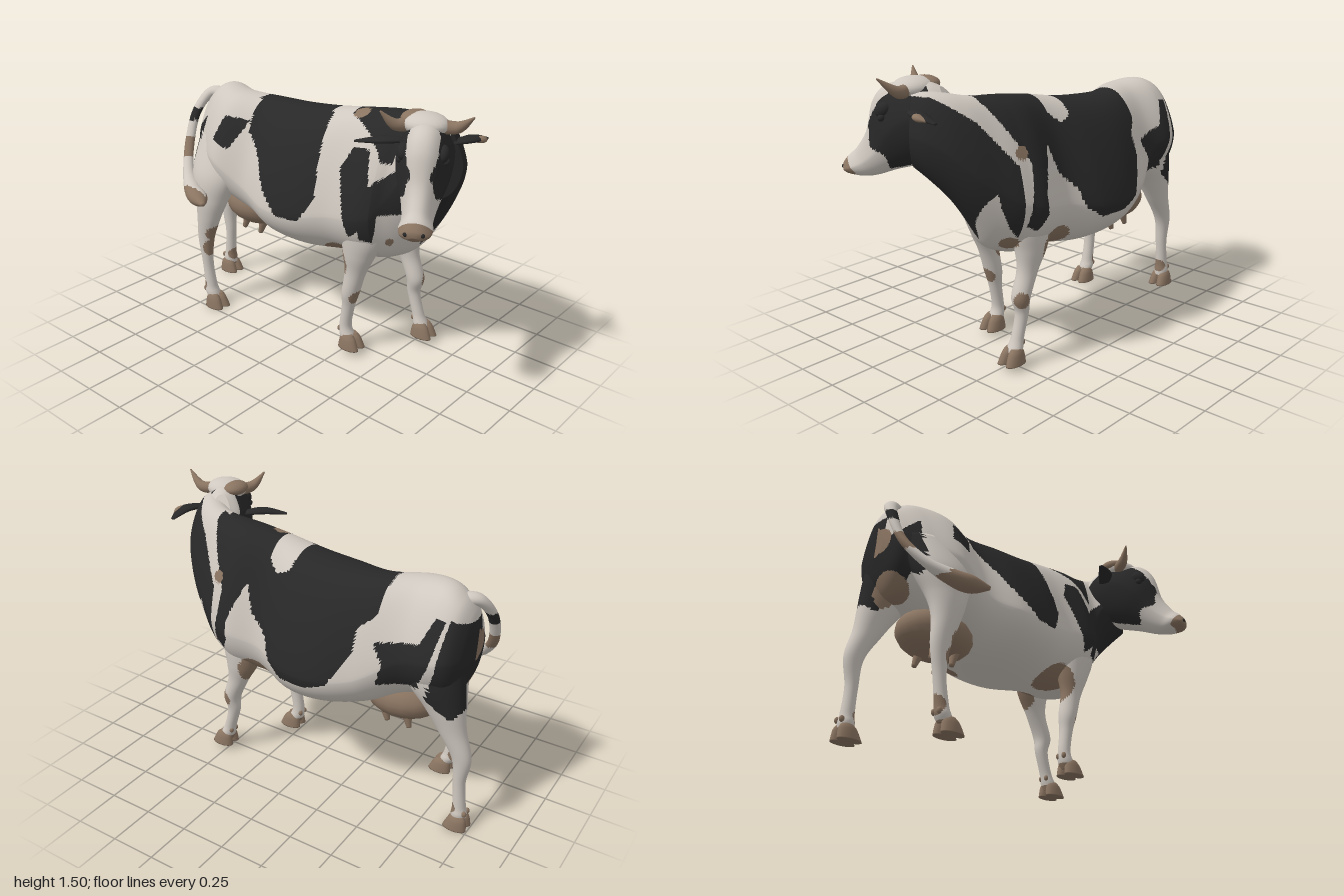
import * as THREE from 'three';

const mat = (name, color) => Object.assign(new THREE.MeshStandardMaterial({ color }), { name });
const WHITE = 0, BLACK = 1, TAN = 2;
const coats = [mat('cream white', 0xcfc8c0), mat('soft black', 0x282828), mat('tan', 0x8a7461)];
const V = (x, y, z) => new THREE.Vector3(x, y, z);
const plain = (c) => () => c;

// Smoothly interpolates a short list of sections into n + 1 rows
function resample(sections, n) {
  const last = sections.length - 1, out = [];
  for (let i = 0; i <= n; i++) {
    const t = (i / n) * last, k = Math.min(Math.floor(t), last - 1), f = t - k;
    const at = (q) => sections[Math.max(0, Math.min(last, q))];
    out.push(at(k).map((p1, c) => {
      const p0 = at(k - 1)[c], p2 = at(k + 1)[c], p3 = at(k + 2)[c];
      return p1 + 0.5 * f * (p2 - p0 + f * (2 * p0 - 5 * p1 + 4 * p2 - p3 + f * (3 * (p1 - p2) + p3 - p0)));
    }));
  }
  return out;
}

// Skins rings of points into a closed surface; colourAt sorts faces into coat colours
function skin(name, rings, colourAt) {
  const n = rings[0].length, end = rings.length - 1, pts = rings.flat(), faces = [[], [], []];
  const add = (a, b, c) => {
    const m = pts[a].clone().add(pts[b]).add(pts[c]).divideScalar(3);
    faces[colourAt(m)].push(a, b, c);
  };
  const centre = (r) => pts.push(r.reduce((s, p) => s.add(p), V(0, 0, 0)).divideScalar(n)) - 1;
  const c0 = centre(rings[0]), c1 = centre(rings[end]);
  for (let j = 0; j < n; j++) {
    const k = (j + 1) % n;
    for (let i = 0; i < end; i++) {
      const a = i * n + j, b = i * n + k;
      add(a, b, a + n);
      add(b, b + n, a + n);
    }
    add(c0, k, j);
    add(c1, end * n + j, end * n + k);
  }
  const geo = new THREE.BufferGeometry().setFromPoints(pts);
  geo.setIndex(faces.flat());
  let start = 0;
  faces.forEach((f, i) => { if (f.length) geo.addGroup(start, f.length, i); start += f.length; });
  geo.computeVertexNormals();
  const mesh = new THREE.Mesh(geo, coats);
  mesh.name = name;
  return mesh;
}
const ring = (n, fn) => Array.from({ length: n }, (_, j) => fn(Math.cos((j / n) * 2 * Math.PI), Math.sin((j / n) * 2 * Math.PI)));

// Upright egg-shaped sections: [z, half width, top, bottom, widest height, x]
const eggRings = (sections, rows, n, yawAt) => resample(sections, rows).map(([z, w, top, bot, mid, x = 0]) =>
  ring(n, (c, s) => {
    const r = w * c * (s > 0 ? 1 - 0.28 * s * Math.abs(c) : 1), yaw = yawAt(z);
    return V(x + r * Math.cos(yaw), mid + s * (s > 0 ? top - mid : mid - bot), z + r * Math.sin(yaw));
  }));
// Horizontal sections going down: [y, rx, rz, z, x]
const legRings = (sections, rows, n) => resample(sections, rows).map(([y, rx, rz, z, x]) =>
  ring(n, (c, s) => V(x + rx * c, y, z + rz * s)));
// Tapered sweep along points [x, y, z, radius], flattened by flat
function sweep(name, points, colourAt, flat = 1, rows = 24, n = 16) {
  const p = resample(points, rows), at = p.map((q) => V(q[0], q[1], q[2]));
  return skin(name, p.map((q, i) => {
    const t = at[Math.min(i + 1, rows)].clone().sub(at[Math.max(i - 1, 0)]).normalize();
    const u = V(0, 1, 0.01).cross(t).normalize(), v = t.clone().cross(u);
    return ring(n, (c, s) => at[i].clone().addScaledVector(u, c * q[3]).addScaledVector(v, s * q[3] * flat));
  }), colourAt);
}
function ball(name, x, y, z, rx, ry, rz, c) {
  const m = new THREE.Mesh(new THREE.SphereGeometry(1, 20, 14), coats[c]);
  m.position.set(x, y, z);
  m.scale.set(rx, ry, rz);
  m.name = name;
  return m;
}

// Coat patches: outlines in (z, y) on each flank, (x, z) on top and (x, y) on the chest
function inside(poly, a, b) {
  let hit = false;
  for (let i = 0, j = poly.length - 1; i < poly.length; j = i++) {
    const [p, q] = poly[i], [r, s] = poly[j];
    if (q > b !== s > b && a < ((r - p) * (b - q)) / (s - q) + p) hit = !hit;
  }
  return hit;
}
const leftSaddle = [[.6, 1.5], [.6, 1.37], [.44, 1.07], [.49, .76], [.43, .73], [.385, .81], [.39, .92], [.294, 1.137], [.246, .987],
  [.144, .89], [.1, .783], [.01, .72], [-.15, .724], [-.27, .77], [-.38, .95], [-.38, 1.067], [-.465, 1.147], [-.476, 1.5]];
const leftNeck = [[.8, 1.4], [.66, 1.28], [.51, 1.06], [.51, .7], [.55, .58], [.8, .6], [1.1, 1.4]];
const leftThigh = [[-.47, 1.02], [-.7, 1.06], [-.76, 1.2], [-.81, 1.19], [-.77, .98], [-.7, .82], [-.5, .8], [-.53, .92]];
const leftRump = [[-.83, 1.2], [-.95, 1.15], [-.95, .75], [-.88, .67], [-.74, .77], [-.8, .95]];
const rightSaddle = [[-.47, 1.5], [-.44, 1.13], [-.33, 1.02], [-.22, .87], [-.1, .76], [.04, .76], [.12, .9], [.06, 1.5]];
const rightShoulder = [[.24, 1.08], [.3, 1.2], [.4, 1.2], [.44, 1], [.42, .8], [.34, .74]];
const rightNeck = [[.4, .74], [.42, 1.02], [.75, 1.28], [1, 1.3], [.95, .9], [.6, .7]];
const rightRump = [[-.78, 1.15], [-.95, 1], [-.95, .78], [-.82, .78]];
const rightHip = [[-.45, 1.18], [-.6, 1.19], [-.64, 1.06], [-.53, 1.02]];
const leftPatches = [leftSaddle, leftNeck, leftThigh, leftRump];
const rightPatches = [rightSaddle, rightShoulder, rightNeck, rightRump, rightHip];
const notch = [[.22, 1.5], [.22, 1.28], [.14, 1.21], [.06, 1.24], [.03, 1.5]];
const withers = [[.03, .2], [.26, .2], [.4, .3], [.4, .45], [.03, .58], [-.1, .5]];
const chest = [[-.13, .88], [.02, .9], [.12, .67], [.17, .78], [.3, .95], [.32, .5], [-.13, .5]];
// Tan spots: [x, y, z, radius]
const tanSpots = [[.32, .36, .49, .045], [-.08, .35, .33, .045], [-.2, .38, -.67, .055], [-.2, .48, -.65, .05],
  [.24, .69, .5, .065], [.3, .6, .25, .12], [-.04, .56, .22, .12], [.06, 1.03, -.92, .07], [.04, .76, -.86, .1],
  [-.2, .13, -.73, .05], [.2, .12, -.91, .04], [-.03, .73, .49, .04], [.31, 1.12, .48, .035], [.05, 1.34, .25, .045], [.3, .6, -.25, .06]];
function coat({ x, y, z }) {
  if (tanSpots.some(([a, b, c, r]) => Math.hypot(x - a, y - b, z - c) < r)) return TAN;
  if (z > .45 && inside(chest, x, y)) return WHITE;
  if (y > 1.15 && inside(withers, x, z)) return BLACK;
  const left = x > (z > .55 ? .11 - 0.6 * (z - .55) : .04);
  if (left && inside(notch, z, y)) return WHITE;
  return (left ? leftPatches : rightPatches).some((p) => inside(p, z, y)) ? BLACK : WHITE;
}

// Leg thickness going down: [y, rx, rz]
const foreShape = [[.95, .13, .15], [.74, .095, .13], [.61, .073, .095], [.5, .052, .062], [.37, .05, .05],
  [.28, .036, .037], [.16, .034, .034], [.1, .042, .042], [.06, .036, .042]];
const hindShape = [[1.05, .13, .18], [.85, .12, .165], [.7, .087, .112], [.58, .062, .079], [.43, .043, .053],
  [.28, .033, .033], [.14, .035, .035], [.09, .042, .042], [.05, .036, .04]];

// Leg following a z path, spreading by lean towards the body, with a cloven hoof
function makeLeg(name, shape, path, x, lean, y, z) {
  const leg = new THREE.Group();
  leg.name = name;
  const sections = shape.map(([h, rx, rz], i) => [h, rx, rz, path[i], x + lean * Math.max(0, 2 * h - 1) ** 2]);
  leg.add(skin(name + 'Limb', legRings(sections, 70, 32), (p) => (p.y < y + .06 ? TAN : coat(p))));
  for (const s of [-1, 1]) {
    const toe = [[.08, .02, .03], [.06, .029, .047], [.03, .033, .058], [0, .034, .066]];
    leg.add(skin('hoofToe', legRings(toe.map(([h, rx, rz]) => [y + h, rx, rz, z - .16 * h, x + s * (.029 - .1 * h)]), 12, 20), plain(TAN)));
    leg.add(ball('dewclaw', x + s * .02, y + .1, path[7] - .036, .012, .017, .014, TAN));
  }
  return leg;
}

export function createModel() {
  const cow = new THREE.Group();
  cow.name = 'cow';

  // Torso running forward into the neck, which turns to the right
  cow.add(skin('torsoAndNeck', eggRings([
    [-.915, .05, 1.12, .95, 1.03, .1], [-.89, .15, 1.21, .83, 1, .1], [-.84, .205, 1.275, .75, 1, .11],
    [-.75, .245, 1.315, .72, .98, .09], [-.6, .275, 1.3, .67, .94, .055], [-.4, .3, 1.285, .59, .82, .11],
    [-.2, .36, 1.29, .54, .78, .11], [0, .35, 1.31, .525, .78, .11], [.2, .285, 1.345, .55, .82, .1],
    [.38, .3, 1.37, .56, .85, .11], [.48, .265, 1.38, .585, .88, .11], [.56, .215, 1.385, .64, .95, .1],
    [.64, .18, 1.395, .78, 1.04, .08], [.71, .155, 1.41, .9, 1.14, .04], [.77, .135, 1.42, .99, 1.2, -.02],
    [.81, .11, 1.41, 1.05, 1.22, -.08]], 240, 150, (z) => 2.6 * Math.max(0, z - .46)), coat));

  // Legs
  cow.add(
    makeLeg('frontLeftLeg', foreShape, [.36, .37, .38, .41, .46, .455, .487, .508, .52], .285, -.09, .03, .532),
    makeLeg('frontRightLeg', foreShape, [.36, .36, .34, .32, .29, .275, .257, .268, .285], -.078, .05, .03, .3),
    makeLeg('hindLeftLeg', hindShape, [-.7, -.74, -.81, -.86, -.925, -.925, -.935, -.938, -.935], .2, -.02, 0, -.93),
    makeLeg('hindRightLeg', hindShape, [-.68, -.67, -.67, -.685, -.715, -.713, -.695, -.685, -.665], -.2, .15, 0, -.645));

  // Udder and teats
  cow.add(ball('udder', .08, .635, -.53, .18, .13, .22, TAN));
  for (const s of [-1, 1]) for (const z of [-.44, -.57])
    cow.add(sweep('teat', [[.08 + s * .06, .57, z, .034], [.08 + s * .07, .465, z - .03, .013]], plain(TAN), 1, 8, 12));

  // Tail swung out to the right, ending in a tuft
  cow.add(sweep('tail', [[.08, 1.24, -.8, .045], [.04, 1.24, -.88, .038], [-.04, 1.13, -.925, .03], [-.12, .96, -.91, .028],
    [-.21, .83, -.83, .032], [-.28, .76, -.72, .05], [-.32, .74, -.63, .052], [-.36, .735, -.55, .012]],
  ({ x, y }) => (y > 1.09 && y < 1.16 ? BLACK : (y > .9 && y < 1) || x < -.31 || (x < -.22 && y < .76) ? TAN : WHITE), .8, 60, 20));

  // Head, turned to the right and lowered
  const head = new THREE.Group();
  head.name = 'head';
  head.position.set(-.07, 1.3, .73);
  head.rotation.set(.66, -1.08, 0, 'YXZ');
  head.add(skin('skull', eggRings([[-.14, .05, .06, -.12, -.02], [-.1, .1, .12, -.18, -.02], [-.02, .128, .18, -.21, 0],
    [.08, .135, .23, -.205, .03], [.18, .125, .21, -.175, .03], [.3, .09, .12, -.125, 0], [.4, .073, .083, -.09, 0],
    [.46, .079, .077, -.055, .015], [.505, .066, .066, -.01, .03], [.525, .028, .045, .015, .03]], 90, 72, () => 0),
  ({ x, y, z }) => {
    if (z > .465 && y > -.02) return TAN;
    const cheek = z > -.1 && z < .29 + .02 * Math.sin(y * 40) && y > -.185 && y < .185 - .35 * Math.max(0, z - .12);
    return cheek && Math.abs(x) > .045 ? BLACK : WHITE;
  }));
  for (const s of [-1, 1]) {
    head.add(ball('brow', s * .09, .135, .13, .03, .035, .045, BLACK));
    head.add(ball('eye', s * .106, .11, .155, .018, .018, .02, BLACK));
    head.add(ball('nostril', s * .038, .045, .507, .012, .012, .012, BLACK));
  }
  cow.add(head);

  // Poll, horns and ears
  cow.add(ball('poll', -.13, 1.425, .755, .1, .055, .115, WHITE));
  cow.add(ball('pollTuft', -.12, 1.44, .69, .08, .037, .065, TAN));
  cow.add(sweep('rightHorn', [[-.14, 1.42, .7, .034], [-.23, 1.425, .655, .028], [-.295, 1.495, .615, .004]], plain(TAN)));
  cow.add(sweep('leftHorn', [[-.11, 1.42, .82, .034], [-.08, 1.425, .9, .028], [-.105, 1.495, .995, .004]], plain(TAN)));
  cow.add(sweep('rightEar', [[-.09, 1.31, .63, .025], [-.18, 1.315, .545, .04], [-.245, 1.3, .43, .012]], plain(BLACK), .4));
  cow.add(sweep('leftEar', [[-.04, 1.33, .85, .025], [.07, 1.335, .9, .04], [.18, 1.31, .9, .012]], plain(BLACK), .4));
  cow.add(sweep('leftEarLining', [[.04, 1.335, .905, .012], [.09, 1.33, .925, .025], [.14, 1.32, .92, .008]], plain(TAN), .7, 12, 12));
  return cow;
}
